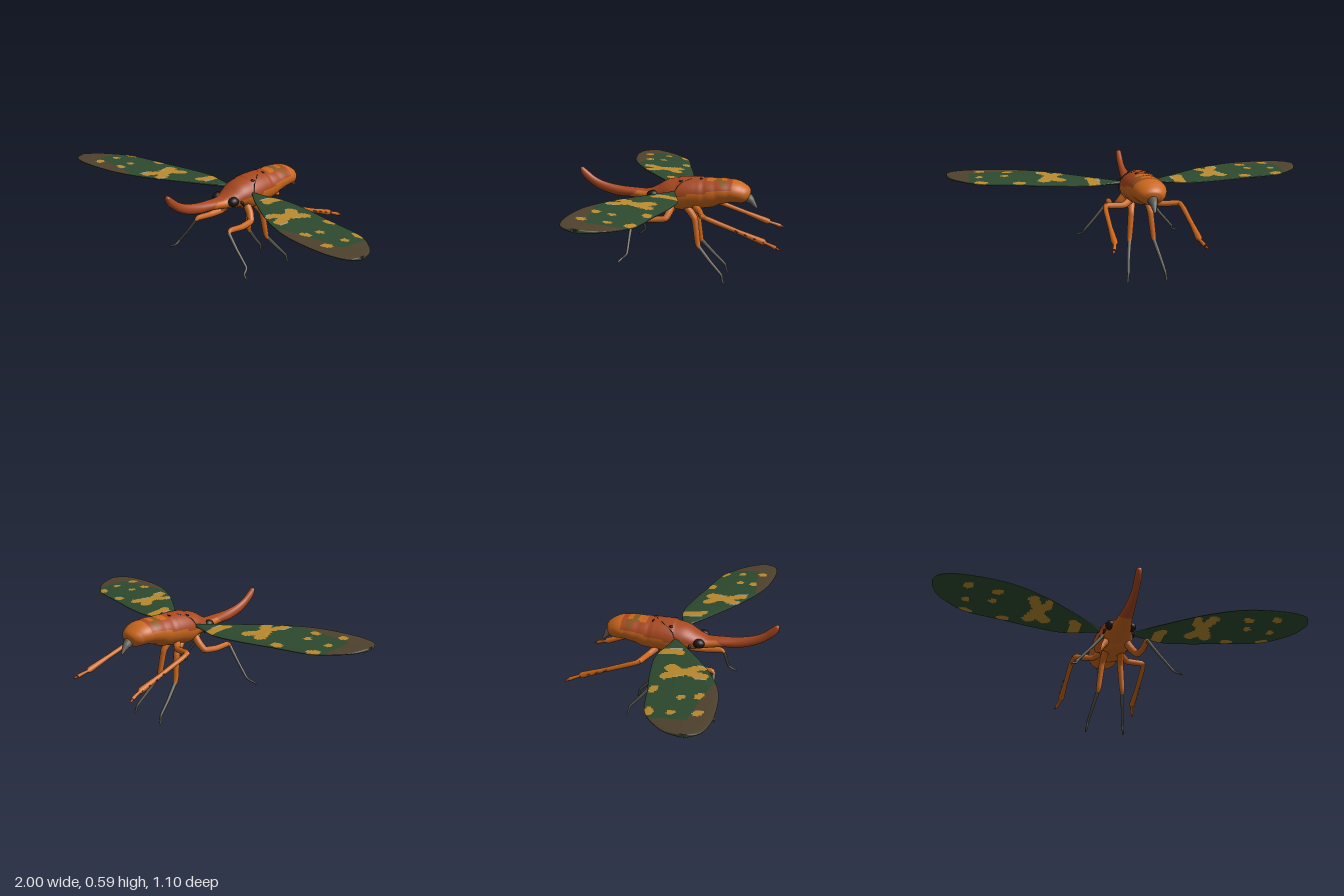
import * as THREE from 'three';
import { mergeVertices } from 'three/addons/utils/BufferGeometryUtils.js';

const V = (x, y, z) => new THREE.Vector3(x, y, z);
const mat = (name, color) => {
  const m = new THREE.MeshStandardMaterial({ color });
  m.name = name;
  return m;
};

// Closed lofted surface; paint(point, angle) picks a material index for each cell
function loft(name, nu, nv, point, paint, materials, flip = false) {
  const positions = [], buckets = materials.map(() => []);
  for (let i = 0; i <= nu; i++)
    for (let j = 0; j < nv; j++)
      positions.push(...point(i / nu, (j / nv) * Math.PI * 2).toArray());
  for (let i = 0; i < nu; i++)
    for (let j = 0; j < nv; j++) {
      const k = (j + 1) % nv;
      const a = i * nv + j, b = i * nv + k, c = a + nv, d = b + nv;
      const angle = ((j + 0.5) / nv) * Math.PI * 2;
      const bucket = buckets[paint(point((i + 0.5) / nu, angle), angle)];
      if (flip) bucket.push(a, b, c, b, d, c);
      else bucket.push(a, c, b, b, c, d);
    }
  let geo = new THREE.BufferGeometry();
  geo.setAttribute('position', new THREE.Float32BufferAttribute(positions, 3));
  geo.setIndex(buckets.flat());
  let start = 0;
  buckets.forEach((bucket, i) => {
    if (bucket.length) geo.addGroup(start, bucket.length, i);
    start += bucket.length;
  });
  geo = mergeVertices(geo, 1e-6);
  geo.computeVertexNormals();
  const mesh = new THREE.Mesh(geo, materials);
  mesh.name = name;
  return mesh;
}

// Tube whose radius changes from point to point
function limb(name, points, radii, material, segments = 28, sides = 10) {
  const curve = new THREE.CatmullRomCurve3(points.map(p => V(...p)), false, 'catmullrom', 0.2);
  const geo = new THREE.TubeGeometry(curve, segments, 1, sides);
  const pos = geo.attributes.position, p = V();
  for (let i = 0; i <= segments; i++) {
    const centre = curve.getPointAt(i / segments);
    const t = curve.getUtoTmapping(i / segments) * (radii.length - 1);
    const k = Math.min(Math.floor(t), radii.length - 2);
    const r = THREE.MathUtils.lerp(radii[k], radii[k + 1], t - k);
    for (let j = 0; j <= sides; j++) {
      const n = i * (sides + 1) + j;
      p.fromBufferAttribute(pos, n).sub(centre).multiplyScalar(r).add(centre);
      pos.setXYZ(n, p.x, p.y, p.z);
    }
  }
  const mesh = new THREE.Mesh(geo, material);
  mesh.name = name;
  return mesh;
}

function ball(name, at, size, material) {
  const mesh = new THREE.Mesh(new THREE.SphereGeometry(1, 20, 14), material);
  mesh.position.set(...at);
  mesh.scale.set(...size);
  mesh.name = name;
  return mesh;
}

export function createModel() {
  const orange = mat('orange', 0xcb671d), rust = mat('rust', 0xa8481f), olive = mat('olive', 0x86591f);
  const green = mat('green', 0x2d4a2f), yellow = mat('yellow', 0xba8a2e), brown = mat('brown', 0x4e422d);
  const pale = mat('pale', 0x9c9c8c), grey = mat('grey', 0x5c5a52), dark = mat('dark', 0x201614);
  const model = new THREE.Group();
  model.name = 'lanternBug';

  // Body sections from snout tip to tail: z, centre y, half width, half height
  const sections = [
    [0.548, 0.592, 0, 0], [0.54, 0.586, 0.014, 0.012], [0.52, 0.56, 0.018, 0.02], [0.48, 0.525, 0.018, 0.022],
    [0.43, 0.497, 0.02, 0.025], [0.34, 0.472, 0.028, 0.028], [0.25, 0.465, 0.038, 0.026],
    [0.17, 0.457, 0.05, 0.032], [0.11, 0.462, 0.072, 0.05], [0.05, 0.472, 0.09, 0.072],
    [0, 0.468, 0.098, 0.088], [-0.06, 0.474, 0.1, 0.086], [-0.14, 0.476, 0.097, 0.082],
    [-0.22, 0.488, 0.094, 0.069], [-0.29, 0.489, 0.088, 0.06], [-0.335, 0.475, 0.075, 0.052],
    [-0.36, 0.463, 0.05, 0.037], [-0.371, 0.457, 0, 0],
  ];
  const spine = new THREE.CatmullRomCurve3(sections.map(s => V(0, s[1], s[0])));
  const sizes = new THREE.CatmullRomCurve3(sections.map(s => V(s[2], s[3], s[0])));
  const bodyPoint = (u, a) => {
    const c = spine.getPoint(u), t = spine.getTangent(u), s = sizes.getPoint(u);
    const ridge = c.z < -0.1 ? 0.98 + 0.03 * Math.abs(Math.sin(c.z * 48)) : 1;
    const up = Math.max(0, s.y) * ridge * Math.sin(a);
    return V(Math.max(0, s.x) * ridge * Math.cos(a), c.y - t.z * up, c.z + t.y * up);
  };
  // Rust back over an orange belly, with banded rear segments
  const bodyPaint = (p, a) => {
    const s = Math.sin(a);
    if (p.z > 0.25 - s * 0.03) return 1;
    if (p.z > 0.17) return s > 0.7 ? 1 : 0;
    if (p.z > -0.15) return s > 0.02 + Math.max(0, -p.z) * 1.1 ? 1 : 0;
    if (p.z < -0.28 || s < 0.25) return 0;
    if (p.z < -0.257) return s > 0.3 ? 1 : 0;
    if (p.z < -0.222) return s > 0.92 ? 0 : s > 0.5 ? 2 : 1;
    if (s < 0.88) return 1;
    return p.z < -0.19 ? 2 : 0;
  };
  model.add(loft('body', 150, 48, bodyPoint, bodyPaint, [orange, rust, olive]));

  // Tail spike
  model.add(limb('tailSpike', [[0, 0.468, -0.345], [0, 0.44, -0.38], [0, 0.4, -0.41]], [0.032, 0.021, 0.004], grey));

  // Wing outline: x, rear edge z, front edge z
  const wing = [
    [0.09, 0.015, 0.035], [0.165, -0.005, 0.1], [0.28, -0.03, 0.185], [0.43, -0.012, 0.285], [0.62, 0.03, 0.37],
    [0.83, 0.08, 0.398], [0.93, 0.155, 0.388], [0.975, 0.21, 0.366], [0.998, 0.275, 0.325], [1, 0.295, 0.305],
  ];
  const outline = new THREE.CatmullRomCurve3(wing.map(w => V(...w)));
  // Wing markings: start x z, end x z, radius
  const yellowStrokes = [
    [0.235, -0.05, 0.23, 0.07, 0.03], [0.23, 0.07, 0.25, 0.09, 0.025],
    [0.405, 0.085, 0.46, 0.15, 0.032], [0.49, 0.085, 0.45, 0.16, 0.034], [0.46, 0.16, 0.41, 0.21, 0.03],
    [0.45, 0.17, 0.485, 0.265, 0.028], [0.41, 0.21, 0.405, 0.245, 0.02], [0.61, 0.06, 0.635, 0.06, 0.021],
    [0.81, 0.09, 0.835, 0.1, 0.022], [0.69, 0.21, 0.69, 0.21, 0.021], [0.825, 0.2, 0.825, 0.2, 0.021],
    [0.665, 0.295, 0.68, 0.29, 0.021], [0.815, 0.325, 0.825, 0.32, 0.023],
  ];
  const paleStrokes = [
    [0.2, 0.03, 0.203, 0.09, 0.006], [0.375, 0.215, 0.39, 0.26, 0.006],
    [0.495, 0.125, 0.485, 0.15, 0.006], [0.505, 0.235, 0.512, 0.28, 0.006],
  ];
  const onStroke = (strokes, x, z) => strokes.some(([x1, z1, x2, z2, r]) => {
    const dx = x2 - x1, dz = z2 - z1, l = dx * dx + dz * dz;
    const t = l ? THREE.MathUtils.clamp(((x - x1) * dx + (z - z1) * dz) / l, 0, 1) : 0;
    return Math.hypot(x - x1 - t * dx, z - z1 - t * dz) < r;
  });
  // Brown tip and pale edging on the upper face only
  const wingPaint = (p, a) => {
    const x = Math.abs(p.x), z = p.z, upper = Math.sin(a) > 0;
    if (upper && onStroke(paleStrokes, x, z)) return 3;
    if (onStroke(yellowStrokes, x, z)) return 1;
    const tip = x > 0.88 || (x > 0.82 && z < 0.08 + (x - 0.82) * 0.4);
    return upper && (tip || (x > 0.56 && z > 0.325 - (x - 0.56) * 0.12)) ? 2 : 0;
  };

  for (const side of [1, -1]) {
    const label = side > 0 ? 'left' : 'right';
    const pts = list => list.map(([x, y, z]) => [x * side, y, z]);

    const wingPoint = (u, a) => {
      const o = outline.getPoint(u), s = Math.sin(a);
      const z = (o.y + o.z) / 2 + ((o.z - o.y) / 2) * Math.cos(a);
      return V(o.x * side, 0.484 + 0.095 * z + 0.009 * Math.sign(s) * Math.abs(s) ** 0.7, z);
    };
    model.add(loft(label + 'Wing', 140, 124, wingPoint, wingPaint, [green, yellow, brown, pale], side < 0));

    // Head details and thorax spots
    model.add(ball(label + 'Eye', [0.058 * side, 0.466, 0.14], [0.026, 0.025, 0.031], dark));
    model.add(limb(label + 'Antenna', pts([[0.06, 0.465, 0.1], [0.08, 0.452, 0.095], [0.085, 0.432, 0.085]]),
      [0.008, 0.007, 0.002], dark, 10, 8));
    model.add(ball(label + 'ThoraxSpot', [0.05 * side, 0.543, -0.01], [0.011, 0.006, 0.011], dark));
    model.add(ball(label + 'BackSpot', [0.025 * side, 0.555, -0.115], [0.014, 0.004, 0.006], dark));
    model.add(limb(label + 'ThoraxSeam', pts([[0, 0.559, -0.1], [0.04, 0.552, -0.055], [0.075, 0.526, 0], [0.093, 0.49, 0.02]]),
      [0.0015, 0.0025, 0.0025, 0.0015], dark, 14, 6));

    // Front leg
    model.add(limb(label + 'FrontThigh', pts([[0.06, 0.42, 0.04], [0.085, 0.385, 0.045], [0.11, 0.35, 0.065],
      [0.12, 0.345, 0.14], [0.12, 0.352, 0.225], [0.125, 0.335, 0.243]]), [0.022, 0.021, 0.018, 0.017, 0.015, 0.007], orange));
    model.add(limb(label + 'FrontShin', pts([[0.12, 0.345, 0.24], [0.18, 0.27, 0.242], [0.25, 0.19, 0.243],
      [0.26, 0.165, 0.27], [0.285, 0.155, 0.282], [0.288, 0.143, 0.28]]), [0.01, 0.008, 0.007, 0.006, 0.006, 0.001], grey));

    // Middle leg
    model.add(limb(label + 'MiddleThigh', pts([[0.035, 0.41, -0.03], [0.045, 0.385, -0.055], [0.052, 0.34, -0.085],
      [0.065, 0.21, -0.103], [0.068, 0.183, -0.112]]), [0.02, 0.02, 0.018, 0.015, 0.009], orange));
    model.add(limb(label + 'MiddleShin', pts([[0.066, 0.195, -0.107], [0.085, 0.115, -0.175], [0.098, 0.05, -0.235],
      [0.102, 0.022, -0.24], [0.105, 0.005, -0.248], [0.107, 0.002, -0.257]]), [0.011, 0.009, 0.007, 0.006, 0.005, 0.001], grey));

    // Hind leg with shin spines, foot and claw
    model.add(limb(label + 'HindThigh', pts([[0.06, 0.41, -0.09], [0.1, 0.39, -0.12], [0.19, 0.394, -0.14],
      [0.205, 0.385, -0.165]]), [0.02, 0.017, 0.016, 0.011], orange));
    model.add(limb(label + 'HindShin', pts([[0.198, 0.395, -0.135], [0.205, 0.375, -0.19], [0.21, 0.32, -0.34],
      [0.212, 0.275, -0.46], [0.213, 0.268, -0.475]]), [0.012, 0.014, 0.012, 0.018, 0.006], orange));
    model.add(limb(label + 'HindFoot', pts([[0.212, 0.272, -0.465], [0.22, 0.26, -0.5], [0.226, 0.249, -0.527]]),
      [0.008, 0.009, 0.011], orange, 10));
    model.add(limb(label + 'HindClaw', pts([[0.225, 0.25, -0.523], [0.238, 0.239, -0.55]]), [0.011, 0.002], rust, 4));
    for (let i = 0; i < 4; i++) {
      const z = -0.31 - i * 0.045, y = 0.33 - i * 0.0165;
      model.add(limb(label + 'ShinSpine', pts([[0.212, y, z], [0.232, y - 0.006, z - 0.022]]), [0.008, 0.001], rust, 3, 6));
    }
  }
  return model;
}
